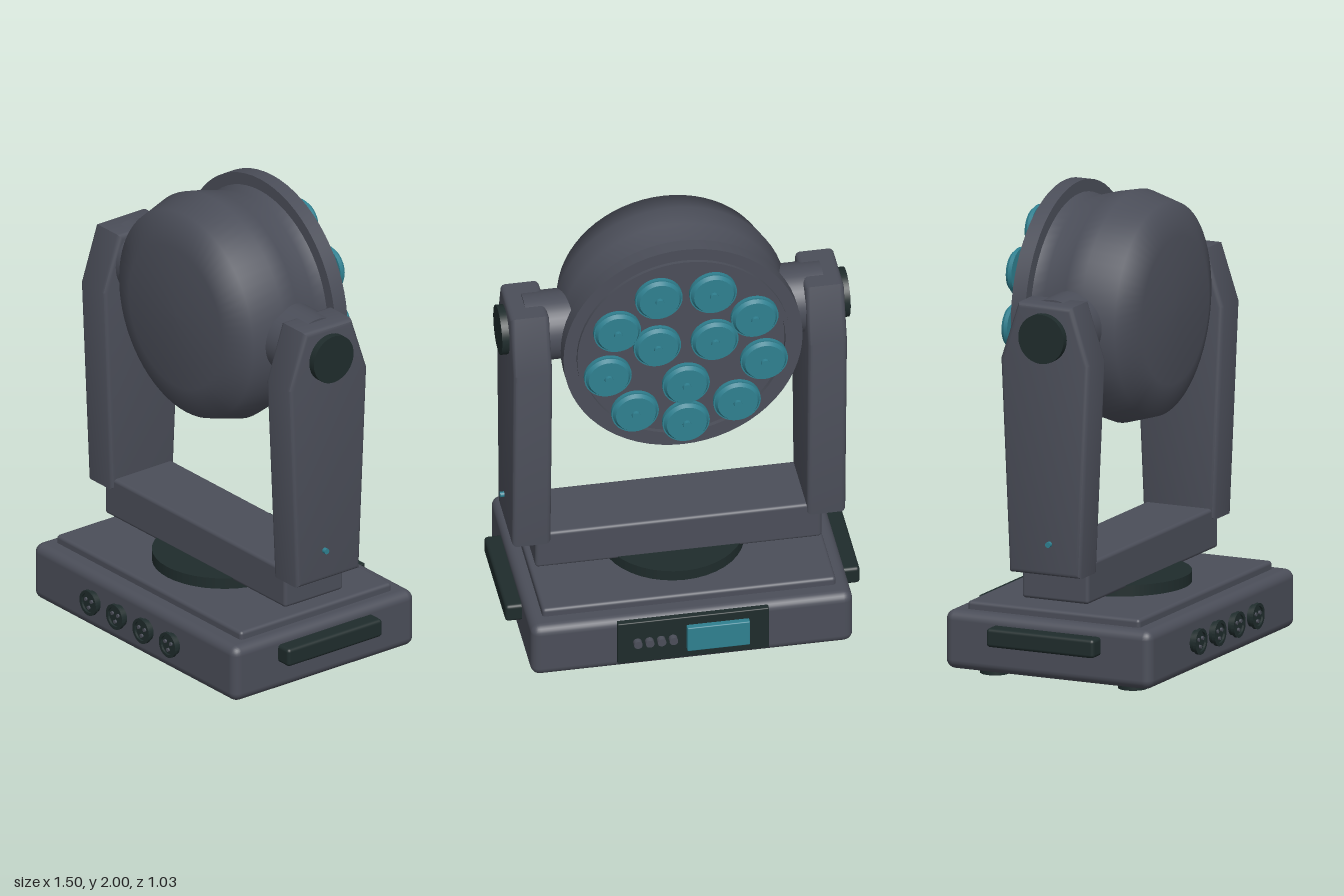
import * as THREE from 'three';
import { toCreasedNormals } from 'three/addons/utils/BufferGeometryUtils.js';
import { RoundedBoxGeometry } from 'three/addons/geometries/RoundedBoxGeometry.js';

const HEAD_Y = 1.495; // tilt axis height

export function createModel() {
  const root = new THREE.Group();
  root.name = 'movingHeadLight';

  const material = (name, color) => {
    const m = new THREE.MeshStandardMaterial({ color });
    m.name = name;
    return m;
  };
  const grey = material('housing grey', 0x4b4e59);
  const dark = material('dark rubber', 0x1f2c2c);
  const teal = material('teal glass', 0x2f8090);

  const add = (name, geometry, mat, x = 0, y = 0, z = 0, parent = root) => {
    const mesh = new THREE.Mesh(geometry, mat);
    mesh.name = name;
    mesh.position.set(x, y, z);
    parent.add(mesh);
    return mesh;
  };
  const box = (w, h, d, r) => new RoundedBoxGeometry(w, h, d, 3, r);
  const cylY = (r, h, r2 = r) => new THREE.CylinderGeometry(r, r2, h, 40);
  const cylX = (r, h) => cylY(r, h).rotateZ(Math.PI / 2);
  const cylZ = (r, h, r2 = r) => cylY(r, h, r2).rotateX(Math.PI / 2); // r is the +z end
  const latheZ = (pts) =>
    new THREE.LatheGeometry(pts.map(([r, z]) => new THREE.Vector2(r, z)), 64).rotateX(Math.PI / 2);

  // Base
  add('baseHousing', box(1.36, 0.25, 0.96, 0.04), grey, 0, 0.157, 0);
  add('baseTopPlate', box(1.24, 0.07, 0.8, 0.015), grey, 0, 0.282, 0);
  add('panTurntable', cylY(0.3, 0.055), dark, 0, 0.337, 0);
  for (const x of [-0.52, 0.52]) {
    for (const z of [-0.32, 0.32]) add('foot', cylY(0.063, 0.045), dark, x, 0.0225, z);
    add('carryHandle', box(0.09, 0.08, 0.5, 0.015), dark, Math.sign(x) * 0.704, 0.2, 0);
  }

  // Cable sockets on the front
  for (const x of [-0.266, -0.089, 0.089, 0.266]) {
    const socket = new THREE.Group();
    socket.name = 'cableSocket';
    socket.position.set(x, 0.163, 0.478);
    root.add(socket);
    add('socketBarrel', cylZ(0.047, 0.03), dark, 0, 0, 0.01, socket);
    add('socketRim', toCreasedNormals(latheZ([
      [0.042, 0.018], [0.055, 0.02], [0.055, 0.034], [0.042, 0.034], [0.042, 0.018],
    ]), 0.6), dark, 0, 0, 0, socket);
    for (let i = 0; i < 3; i++) {
      const a = Math.PI / 2 + (i * Math.PI * 2) / 3;
      add('socketPin', cylZ(0.008, 0.012), grey, 0.022 * Math.cos(a), -0.022 * Math.sin(a), 0.027, socket);
    }
  }

  // Control panel on the back
  add('controlPanel', box(0.64, 0.205, 0.03, 0.005), dark, 0, 0.168, -0.48);
  add('displayScreen', box(0.265, 0.12, 0.035, 0.005), teal, -0.103, 0.17, -0.503);
  for (let i = 0; i < 4; i++) add('panelButton', cylZ(0.018, 0.03), grey, 0.087 + i * 0.05, 0.17, -0.505);

  // Yoke
  add('yokeCrossbar', box(1.21, 0.175, 0.31, 0.015), grey, 0, 0.4395, 0);
  const profile = new THREE.Shape([
    [-0.165, 0.48], [0.165, 0.48], [0.206, 1.39], [0.125, 1.633], [-0.125, 1.633], [-0.206, 1.39],
  ].map(([z, y]) => new THREE.Vector2(z, y)));
  const armGeometry = toCreasedNormals(new THREE.ExtrudeGeometry(profile, {
    depth: 0.125, bevelThickness: 0.02, bevelSize: 0.02, bevelOffset: -0.02, bevelSegments: 3,
  }).rotateY(Math.PI / 2).translate(-0.0625, 0, 0), 0.6);
  for (const s of [-1, 1]) {
    add('yokeArm', armGeometry, grey, s * 0.6225, 0, 0);
    add('tiltBoss', cylX(0.147, 0.23), grey, s * 0.515, HEAD_Y, 0);
    add('tiltCap', cylX(0.105, 0.04), dark, s * 0.716, HEAD_Y, 0);
    add('armIndicator', cylX(0.012, 0.025), teal, s * 0.71, 0.618, 0.025);
  }

  // Lamp head
  const head = new THREE.Group();
  head.name = 'lampHead';
  head.position.y = HEAD_Y;
  root.add(head);
  add('headShell', latheZ([
    [0.455, -0.2], [0.442, -0.135], [0.472, -0.03], [0.49, 0.06],
    [0.45, 0.2], [0.312, 0.258], [0, 0.262],
  ]), grey, 0, 0, 0, head);
  add('headRim', toCreasedNormals(latheZ([
    [0, -0.25], [0.43, -0.25], [0.43, -0.27], [0.45, -0.27], [0.45, -0.255],
    [0.505, -0.255], [0.505, -0.19], [0.44, -0.19],
  ]), 0.6), grey, 0, 0, 0, head);

  // Lenses: an outer ring of nine and an inner ring of three
  for (const [count, radius] of [[9, 0.335], [3, 0.14]]) {
    for (let i = 0; i < count; i++) {
      const a = -Math.PI / 2 + (i * Math.PI * 2) / count;
      const lens = new THREE.Group();
      lens.name = 'lens';
      lens.position.set(radius * Math.cos(a), radius * Math.sin(a), 0);
      head.add(lens);
      add('lensFlange', cylZ(0.1, 0.017), teal, 0, 0, -0.3185, lens);
      add('lensFace', cylZ(0.095, 0.018, 0.084), teal, 0, 0, -0.335, lens);
      add('lensNub', cylZ(0.018, 0.018), teal, 0, 0, -0.35, lens);
    }
  }
  return root;
}
